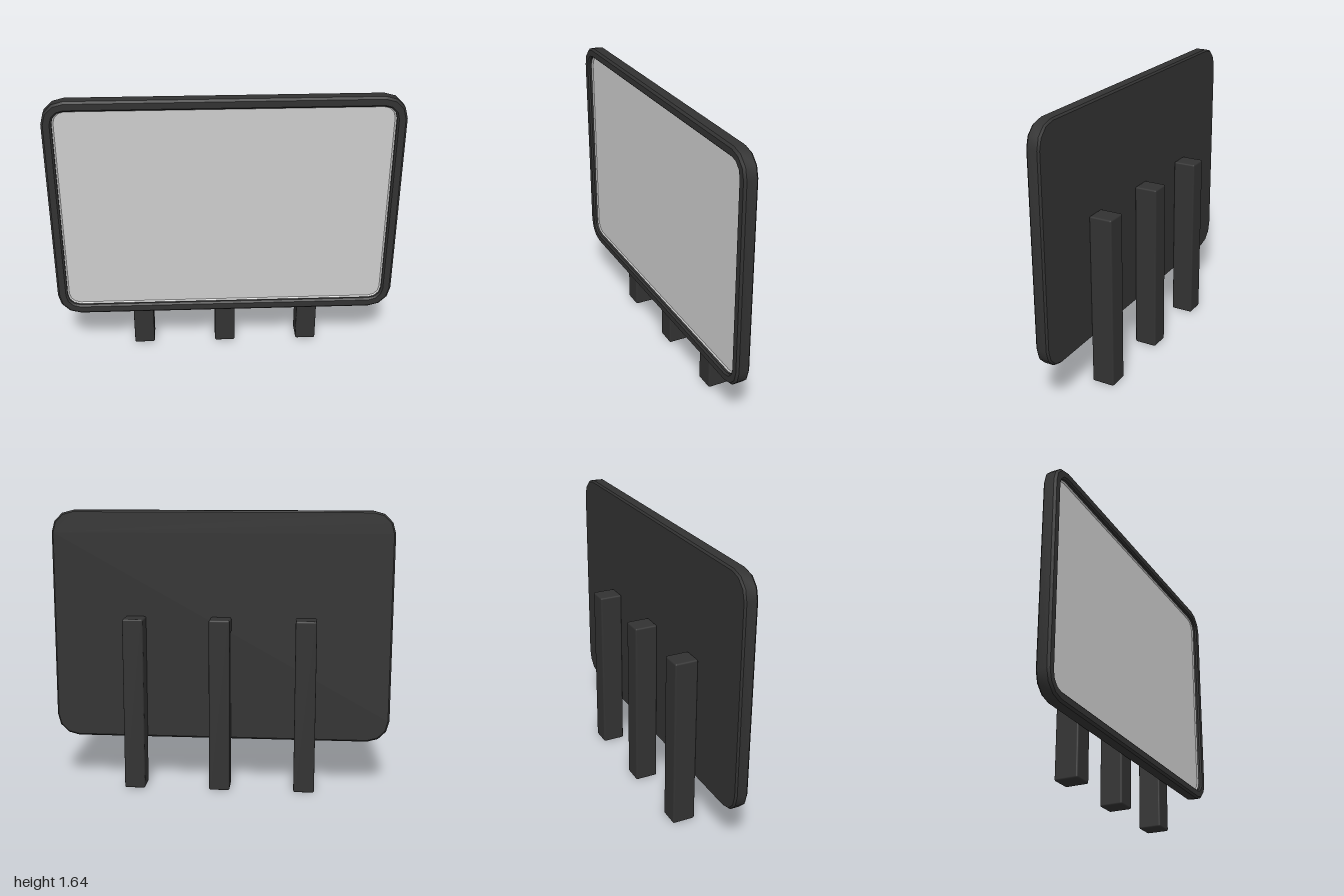
import * as THREE from 'three';
import { toCreasedNormals } from 'three/addons/utils/BufferGeometryUtils.js';
import { RoundedBoxGeometry } from 'three/addons/geometries/RoundedBoxGeometry.js';

const W = 2, H = 1.36, R = 0.13, CENTRE_Y = 0.96, CORNER_STEPS = 3;

// Counter-clockwise outline of the rounded panel, moved inwards by inset
function ring(inset, z) {
  const r = R - inset, pts = [];
  for (let c = 0; c < 4; c++) {
    const sx = c === 0 || c === 3 ? 1 : -1, sy = c < 2 ? 1 : -1;
    for (let s = 0; s <= CORNER_STEPS; s++) {
      const a = (c + s / CORNER_STEPS) * Math.PI / 2;
      pts.push([sx * (W / 2 - R) + r * Math.cos(a), sy * (H / 2 - R) + r * Math.sin(a), z]);
    }
  }
  return pts;
}

// Joins successive [inset, z] rings, with an optional cap on the first or last ring
function loft(sections, capBack, capFront) {
  const rings = sections.map(([inset, z]) => ring(inset, z));
  const n = rings[0].length, last = rings.length - 1;
  const pos = rings.flat(2), index = [];
  for (let k = 0; k < last; k++) {
    for (let i = 0; i < n; i++) {
      const a = k * n + i, b = k * n + (i + 1) % n;
      index.push(a, b, b + n, a, b + n, a + n);
    }
  }
  for (let i = 1; i < n - 1; i++) {
    if (capBack) index.push(0, i + 1, i);
    if (capFront) index.push(last * n, last * n + i, last * n + i + 1);
  }
  const geo = new THREE.BufferGeometry();
  geo.setAttribute('position', new THREE.Float32BufferAttribute(pos, 3));
  geo.setIndex(index);
  return toCreasedNormals(geo, 0.7);
}

export function createModel() {
  const model = new THREE.Group();
  model.name = 'billboard';
  const dark = new THREE.MeshStandardMaterial({ color: 0x323232 });
  const grey = new THREE.MeshStandardMaterial({ color: 0xcccccc });

  const add = (name, geo, mat, x, y, z) => {
    const mesh = new THREE.Mesh(geo, mat);
    mesh.name = name;
    mesh.position.set(x, y, z);
    model.add(mesh);
  };

  // Frame: closed back, bevelled rim and a recess for the board
  add('frame', loft([
    [0.01, 0.028], [0, 0.038], [0, 0.095], [0.012, 0.107],
    [0.048, 0.107], [0.058, 0.097], [0.058, 0.078],
  ], true, false), dark, 0, CENTRE_Y, 0);

  // Display board: flat face with a slightly raised edge
  add('displayBoard', loft([[0.058, 0.085], [0.066, 0.078]], false, true), grey, 0, CENTRE_Y, 0);

  // Three posts standing behind the frame
  const postGeo = new RoundedBoxGeometry(0.122, 1.02, 0.136, 2, 0.01);
  [['rightPost', -0.5], ['middlePost', 0], ['leftPost', 0.505]].forEach(([name, x]) =>
    add(name, postGeo, dark, x, 0.51, -0.039));

  return model;
}
